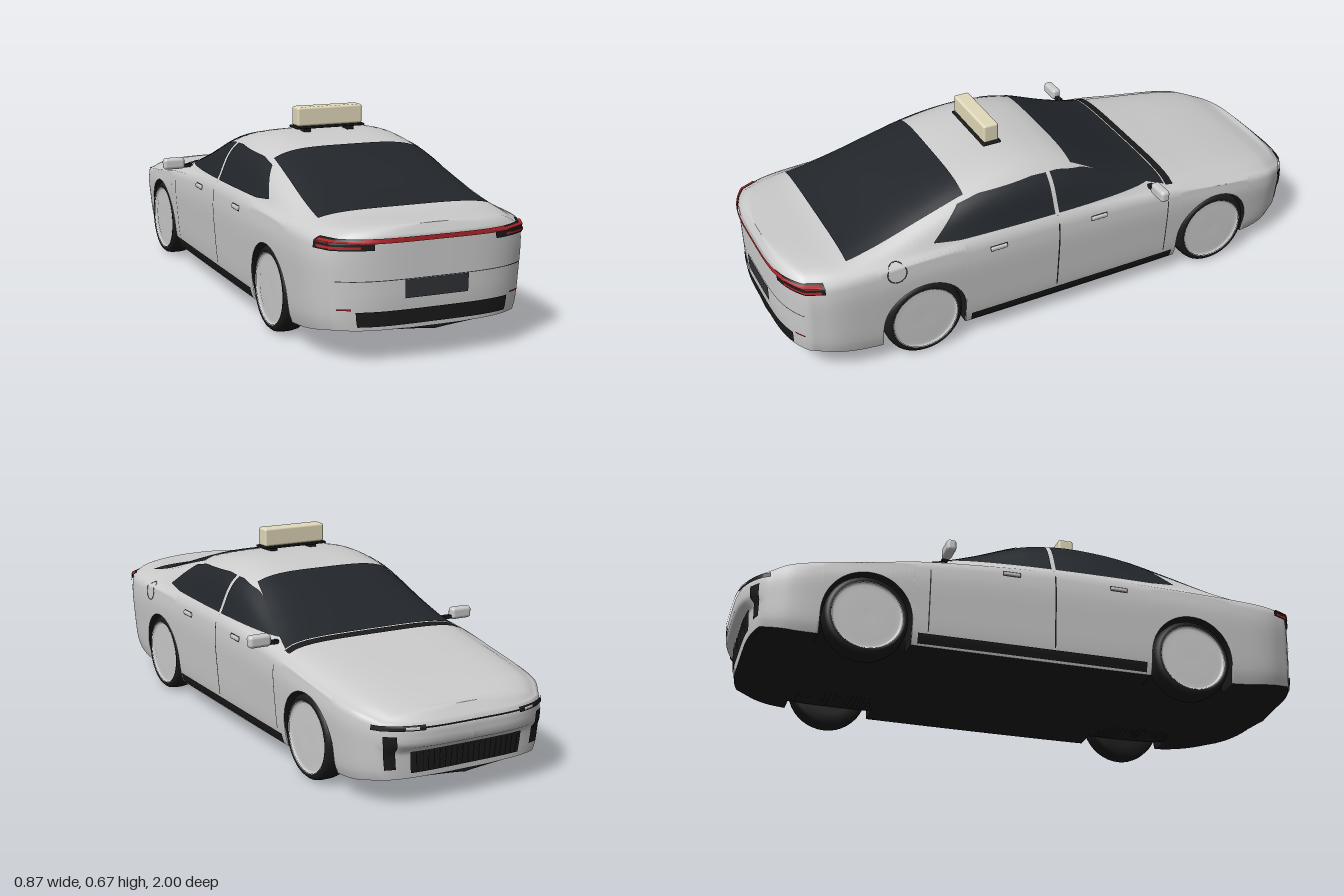
import * as THREE from 'three';
import { RoundedBoxGeometry } from 'three/addons/geometries/RoundedBoxGeometry.js';

const mat = (color) => new THREE.MeshStandardMaterial({ color, side: THREE.DoubleSide });
const paint = mat(0xcccccc), glass = mat(0x22262b), black = mat(0x1b1b1c), trim = mat(0x303236);
const red = mat(0xb02428), cream = mat(0xe3dabb);

// smooth (or straight) interpolation through [z, value] pairs
function curve(pts, smooth = true) {
  const slope = (i) => {
    const a = pts[Math.max(i - 1, 0)], b = pts[Math.min(i + 1, pts.length - 1)];
    return (b[1] - a[1]) / (b[0] - a[0]);
  };
  return (z) => {
    let i = 0;
    while (i < pts.length - 2 && z > pts[i + 1][0]) i++;
    const [z0, v0] = pts[i], [z1, v1] = pts[i + 1], d = z1 - z0;
    const t = THREE.MathUtils.clamp((z - z0) / d, 0, 1), u = 1 - t;
    if (!smooth) return v0 * u + v1 * t;
    return v0 * u * u * (1 + 2 * t) + v1 * t * t * (3 - 2 * t) + d * t * u * (u * slope(i) - t * slope(i + 1));
  };
}

// body laws along z: half width, underside, shoulder line and top line
const END = 0.93, WHEELS = [0.54, -0.6], ARCH = 0.15, AXLE = 0.14;
const W = curve([[-.93, .3], [-.85, .345], [-.7, .365], [-.5, .372], [0, .375], [.5, .375], [.75, .37], [.85, .358], [.93, .325]]);
const B = curve([[-.93, .09], [-.8, .068], [-.5, .062], [.5, .062], [.75, .075], [.93, .105]]);
const S = curve([[-.93, .272], [-.85, .295], [-.6, .33], [-.4, .36], [0, .385], [.5, .387], [.93, .378]]);
const T = curve([[-.93, .305], [-.85, .33], [-.7, .358], [-.5, .385], [-.4, .402], [-.25, .462], [-.06, .548], [.05, .573],
  [.15, .58], [.25, .572], [.36, .55], [.5, .508], [.67, .452], [.8, .424], [.93, .42]]);
const lowSide = curve([[0, .925], [.12, .955], [.5, .985], [.8, 1], [1, .985]]);
const noseBulge = curve([[.09, .4], [.18, .5], [.2, 1], [.262, 1], [.305, .4]], false);
const tailBulge = curve([[.1, .88], [.2, 1], [.39, 1], [.42, .75]], false);

const upper = (h) => 0.985 * Math.pow(Math.max(0, 1 - h ** 4), 0.25) * (1 - 0.18 * Math.pow(h, 0.6));
// half width of the body at a height
function sideX(y, z) {
  const b = B(z), s = S(z);
  if (y < s) return W(z) * lowSide((y - b) / (s - b));
  return W(z) * upper(Math.min(1, (y - s) / (T(z) - s)));
}
// height of the top surface at x
function topY(x, z) {
  let lo = 0, hi = 1;
  for (let i = 0; i < 30; i++) {
    const m = (lo + hi) / 2;
    if (W(z) * upper(m) > Math.abs(x)) lo = m; else hi = m;
  }
  return S(z) + (T(z) - S(z)) * lo;
}
// point on the rounded nose (dir -1) or tail (dir 1); p > 1 runs on along the side
function endPoint(dir, p, y, off = 0) {
  const a = Math.abs(p), sg = Math.sign(p);
  if (a > 1) {
    const z = dir * (END - (a - 1) * 0.3);
    return [sg * (sideX(y, z) + off), y, z + dir * off];
  }
  const bulge = dir > 0 ? 0.062 * tailBulge(y) : 0.068 * noseBulge(y);
  return [p * (sideX(y, dir * END) + off), y, dir * (END + bulge * (1 - a ** 4) + off)];
}
function sill(z) {
  for (const c of WHEELS) if (Math.abs(z - c) <= ARCH) return AXLE + Math.sqrt(ARCH ** 2 - (z - c) ** 2);
  return B(z);
}

// surface from rows of points
function loft(rows, material, name) {
  const n = rows[0].length, index = [];
  for (let i = 0; i < rows.length - 1; i++) for (let j = 0; j < n - 1; j++) {
    const a = i * n + j, b = a + n;
    index.push(a, b, a + 1, b, b + 1, a + 1);
  }
  const g = new THREE.BufferGeometry();
  g.setAttribute('position', new THREE.Float32BufferAttribute(rows.flat(2), 3));
  g.setIndex(index);
  g.computeVertexNormals();
  const m = new THREE.Mesh(g, material);
  m.name = name;
  return m;
}
function patch(fn, nu, nv, material, name) {
  const rows = [];
  for (let i = 0; i <= nu; i++) rows.push(Array.from({ length: nv + 1 }, (_, j) => fn(i / nu, j / nv)));
  return loft(rows, material, name);
}
const mix = THREE.MathUtils.lerp;

// one half of a cross-section as [x, y], sill to roof centre
function halfSection(z) {
  const out = [], s = S(z), t = T(z), y0 = sill(z);
  for (let i = 0; i < 12; i++) { const y = mix(y0, s, i / 12); out.push([sideX(y, z), y]); }
  for (let i = 0; i < 10; i++) { const h = 0.84 * i / 10; out.push([W(z) * upper(h), s + (t - s) * h]); }
  for (let i = 0; i <= 12; i++) {
    const h = Math.pow(1 - (0.84 * (1 - i / 12)) ** 4, 0.25);
    out.push([W(z) * upper(h), s + (t - s) * h]);
  }
  return out;
}

export function createModel() {
  const car = new THREE.Group();
  car.name = 'taxiCar';
  const add = (m) => { car.add(m); return m; };

  // painted shell and dark underbody, lofted from tail to nose
  const zs = Array.from({ length: 121 }, (_, i) => mix(END, -END, i / 120));
  for (const c of WHEELS) {
    for (let k = 0; k <= 24; k++) zs.push(c + ARCH * 0.99999 * Math.cos(Math.PI * k / 24));
    zs.push(c + ARCH + 0.0005, c - ARCH - 0.0005);
  }
  zs.sort((a, b) => b - a);
  const mirrorRow = (half) => [...half, ...half.slice(0, -1).reverse().map(([x, y, z]) => [-x, y, z])];
  const floorHalf = (z) => {
    const y = sill(z), b = B(z), x = sideX(y, z), xi = Math.min(0.265, x * 0.88);
    return [[x, y, z], [xi, y, z], [xi, b, z], [0, b - 0.012, z]];
  };
  const shell = zs.map((z) => mirrorRow(halfSection(z).map(([x, y]) => [x, y, z])));
  const floor = zs.map((z) => mirrorRow(floorHalf(z)));
  const steps = 14;
  for (const dir of [1, -1]) {
    const sec = halfSection(dir * END), under = floorHalf(dir * END);
    for (let i = 1; i <= steps; i++) {
      const s = 1 - i / steps;
      const cap = mirrorRow(sec.map(([x, y]) => [x * s, y, endPoint(dir, s, y)[2]]));
      const base = mirrorRow(under.map(([x, y]) => [x * s, y, endPoint(dir, s, B(dir * END))[2]]));
      if (dir > 0) { shell.unshift(cap); floor.unshift(base); } else { shell.push(cap); floor.push(base); }
    }
  }
  add(loft(shell, paint, 'bodyShell'));
  add(loft(floor, black, 'underbody'));

  // panels draped on the top, the sides and the ends
  const top = (z0, z1, x0, x1, material, name) => add(patch((u, v) => {
    const z = mix(z0, z1, u), x = mix(-1, 1, v) * mix(x0, x1, u);
    return [x, topY(x, z) + 0.004, z];
  }, 24, 24, material, name));
  const side = (sx, z0, z1, lo, hi, material, name, off = 0.003) => add(patch((u, v) => {
    const z = mix(z0, z1, u), y = mix(lo(z), hi(z), v);
    return [sx * (sideX(y, z) + off), y + off * 0.3, z];
  }, 24, 10, material, name));
  const end = (dir, x0, x1, y0, y1, material, name, off = 0.004) => add(patch((u, v) => {
    const y = mix(y0, y1, v);
    return endPoint(dir, mix(x0, x1, u) / sideX((y0 + y1) / 2, dir * END), y, off);
  }, 24, 6, material, name));
  const k = (v) => () => v;

  top(-.40, -.06, .33, .257, glass, 'windshield');
  top(.35, .78, .268, .295, glass, 'rearWindow');
  top(-.435, -.405, .335, .335, black, 'cowl');

  const winLow = curve([[-.34, .4], [0, .405], [.4, .41], [.49, .42]], false);
  const winHigh = curve([[-.34, .402], [-.2, .462], [-.1, .505], [0, .528], [.1, .535], [.3, .525], [.38, .508], [.49, .423]], false);
  for (const sx of [1, -1]) {
    side(sx, -.34, .033, winLow, winHigh, glass, 'frontSideWindow');
    side(sx, .048, .49, winLow, winHigh, glass, 'rearSideWindow');
    side(sx, .37, -.43, k(.066), k(.1), black, 'sillTrim', 0.004);
    side(sx, .038, .043, k(.11), k(.4), black, 'doorGap', 0.001);
    side(sx, -.398, -.394, k(.11), k(.33), trim, 'doorGap', 0.001);
    for (const z of [.27, -.115]) {
      const handle = new THREE.Mesh(new RoundedBoxGeometry(.012, .014, .06, 2, .004), paint);
      handle.name = 'doorHandle';
      handle.position.set(sx * (sideX(.355, z) + .002), .355, z);
      add(handle);
      side(sx, z - .032, z + .032, k(.345), k(.365), trim, 'handleRecess', 0.001);
    }
    // mirror
    const mirror = new THREE.Mesh(new RoundedBoxGeometry(.08, .042, .034, 3, .012), paint);
    mirror.name = 'sideMirror';
    mirror.position.set(sx * .397, .401, -.342);
    const stalk = new THREE.Mesh(new THREE.BoxGeometry(.05, .012, .018), black);
    stalk.name = 'mirrorStalk';
    stalk.position.set(sx * .352, .39, -.342);
    add(mirror); add(stalk);

    // lamps and bumper details
    end(1, sx * .2, sx * .385, .352, .386, black, 'tailLampHousing');
    for (const y of [.357, .374]) end(1, sx * .24, sx * .375, y, y + .008, red, 'tailLamp', 0.006);
    end(1, sx * .265, sx * .303, .17, .175, red, 'reflector');
    end(-1, sx * .17, sx * .32, .252, .268, black, 'headlampHousing');
    end(-1, sx * .19, sx * .23, .256, .264, paint, 'headlamp', 0.006);
    end(-1, sx * .25, sx * .285, .125, .235, black, 'cornerVent');
  }
  // fuel door outline
  const ring = Array.from({ length: 24 }, (_, i) => {
    const a = i / 24 * Math.PI * 2, y = .365 + .033 * Math.sin(a), z = .635 + .033 * Math.cos(a);
    return new THREE.Vector3(sideX(y, z), y, z);
  });
  const fuel = new THREE.Mesh(new THREE.TubeGeometry(new THREE.CatmullRomCurve3(ring, true), 48, .0015, 4, true), trim);
  fuel.name = 'fuelDoorGap';
  add(fuel);

  end(1, -.24, .24, .372, .387, red, 'lightBar', 0.007);
  end(1, -.105, .105, .2, .257, trim, 'plateRecess');
  end(1, -.31, .31, .257, .2595, trim, 'bumperGap', 0.002);
  end(1, -.25, .25, .118, .165, black, 'rearDiffuser');
  end(-1, -.2, .2, .108, .178, black, 'grille');
  end(-1, -.17, .17, .258, .263, black, 'noseStrip');
  for (let i = -9; i <= 9; i++) end(-1, i * .02 - .002, i * .02 + .002, .112, .174, trim, 'grilleSlat', 0.008);

  // wheels
  const tyre = [[.1, -.043], [.128, -.043], [.138, -.032], [.141, -.015], [.141, .015], [.138, .032], [.128, .043], [.116, .041], [.113, .032]];
  const rim = [[0, .036], [.09, .038], [.108, .034], [.114, .039], [.118, .042]];
  const lathe = (p) => new THREE.LatheGeometry(p.map(([r, h]) => new THREE.Vector2(r, h)), 40);
  const tyreGeo = lathe(tyre), rimGeo = lathe(rim), backGeo = new THREE.CircleGeometry(.105, 32).rotateX(Math.PI / 2);
  for (const z of WHEELS) for (const sx of [1, -1]) {
    const wheel = new THREE.Group();
    wheel.name = 'wheel';
    const parts = [[tyreGeo, black, 'tyre'], [rimGeo, paint, 'hubcap'], [backGeo, black, 'wheelBack']];
    for (const [g, m, name] of parts) {
      const mesh = new THREE.Mesh(g, m);
      mesh.name = name;
      if (name === 'wheelBack') mesh.position.y = -.042;
      wheel.add(mesh);
    }
    wheel.rotation.z = -sx * Math.PI / 2;
    wheel.position.set(sx * .321, .141, z);
    add(wheel);
  }

  // roof sign
  const box = (w, h, d, x, y, z, m, name, r) => {
    const b = new THREE.Mesh(new RoundedBoxGeometry(w, h, d, 3, r), m);
    b.name = name;
    b.position.set(x, y, z);
    add(b);
  };
  box(.242, .066, .056, 0, .632, .172, cream, 'roofSign', .008);
  box(.255, .008, .068, 0, .595, .172, black, 'signBase', .003);
  for (const x of [-.08, .08]) box(.026, .022, .04, x, .584, .172, black, 'signFoot', .003);
  return car;
}
